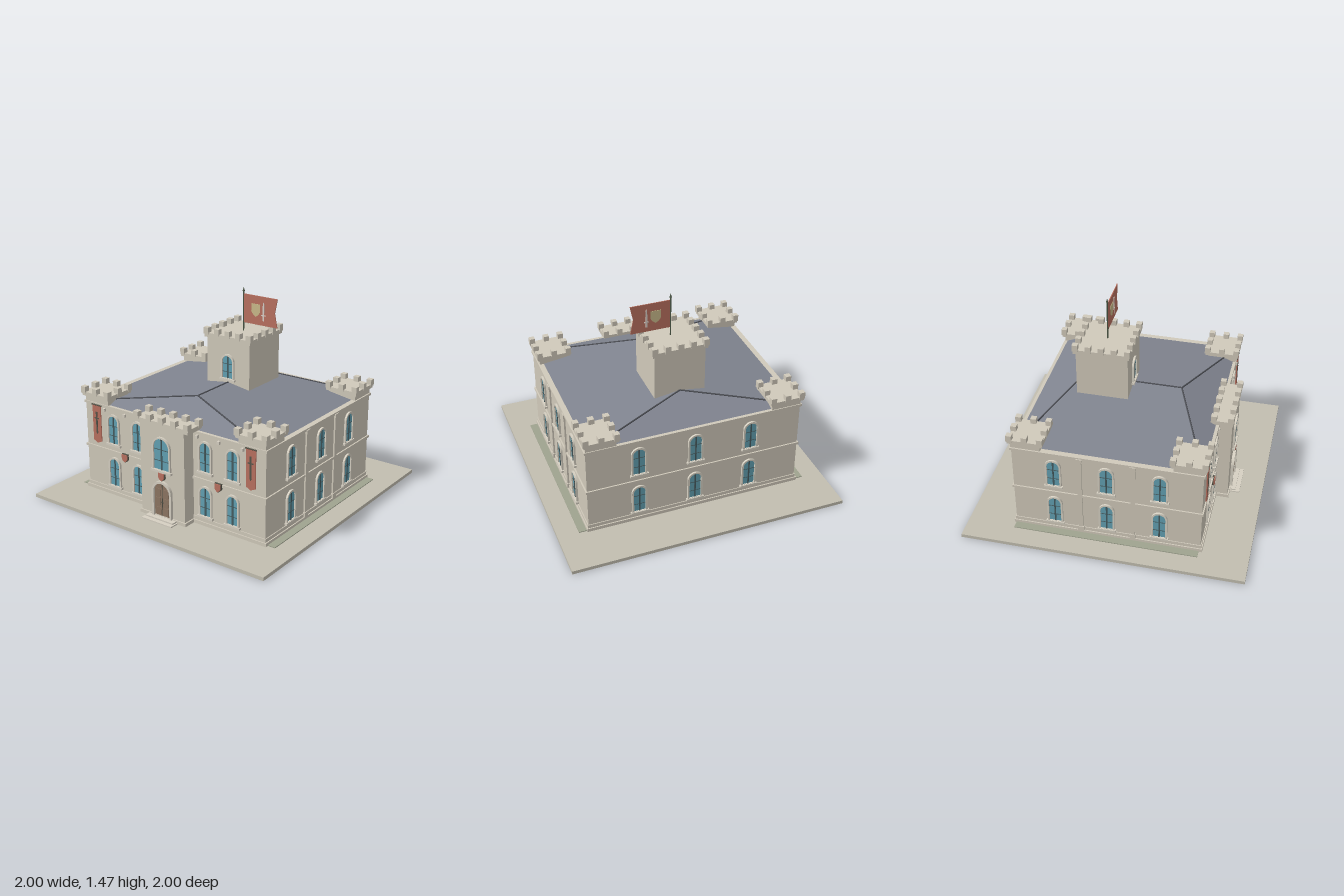
import * as THREE from 'three';

const mat = (color, side = THREE.FrontSide) => new THREE.MeshStandardMaterial({ color, side });
const M = {
  stone: mat(0xd0c9ba), trim: mat(0xd6d0c2), ground: mat(0xc2beb0), lawn: mat(0x9fa38f),
  roof: mat(0x80848f), lead: mat(0x4c4e54), glass: mat(0x62a0b2), bar: mat(0x465c60),
  door: mat(0x8c7562), iron: mat(0x55554a), red: mat(0xb9705f, THREE.DoubleSide),
  gold: mat(0xc9b98a), steel: mat(0xd8d0c8), green: mat(0x4e5a48),
};

function add(parent, name, geo, material, x = 0, y = 0, z = 0) {
  const m = new THREE.Mesh(geo, material);
  m.name = name;
  m.position.set(x, y, z);
  parent.add(m);
  return m;
}

// Box given by its minimum and maximum corners
function box(parent, name, material, x0, x1, y0, y1, z0, z1) {
  return add(parent, name, new THREE.BoxGeometry(x1 - x0, y1 - y0, z1 - z0), material,
    (x0 + x1) / 2, (y0 + y1) / 2, (z0 + z1) / 2);
}

const extrude = (shape, depth) =>
  new THREE.ExtrudeGeometry(shape, { depth, bevelEnabled: false, curveSegments: 10 });
const poly = pts => new THREE.Shape(pts.map(p => new THREE.Vector2(...p)));

// Round-headed opening standing on y = y0
function arch(w, h, y0 = 0) {
  const r = w / 2, s = new THREE.Shape();
  s.moveTo(-r, y0);
  s.lineTo(r, y0);
  s.lineTo(r, h - r);
  s.absarc(0, h - r, r, 0, Math.PI, false);
  s.lineTo(-r, y0);
  return s;
}

// Arched window facing +z: frame, glass, glazing bars and sill
function archWindow(w, h) {
  const g = new THREE.Group(), f = 0.013;
  g.name = 'window';
  const frame = arch(w + 2 * f, h + f);
  frame.holes.push(arch(w, h, 0.004));
  add(g, 'windowFrame', extrude(frame, 0.014), M.trim);
  add(g, 'windowGlass', extrude(arch(w, h), 0.004), M.glass);
  box(g, 'mullion', M.bar, -0.005, 0.005, 0, h - 0.004, 0, 0.009);
  for (const t of [0.3, 0.65])
    box(g, 'glazingBar', M.bar, -w / 2, w / 2, h * t - 0.002, h * t + 0.002, 0, 0.007);
  box(g, 'windowSill', M.trim, -w / 2 - 0.022, w / 2 + 0.022, -0.014, 0.002, 0, 0.02);
  return g;
}

const shieldShape = (w, h) => poly([[-w / 2, h / 2], [w / 2, h / 2], [w / 2, -h * 0.1],
  [w * 0.3, -h * 0.32], [0, -h / 2], [-w * 0.3, -h * 0.32], [-w / 2, -h * 0.1]]);

// Upright sword emblem, centred on its origin
function sword(h, material, depth) {
  const g = new THREE.Group();
  g.name = 'swordEmblem';
  const w = h * 0.04;
  add(g, 'blade', extrude(poly([[-w, -h * 0.2], [w, -h * 0.2], [w, h * 0.42], [0, h / 2], [-w, h * 0.42]]), depth), material);
  box(g, 'guard', material, -h * 0.13, h * 0.13, -h * 0.24, -h * 0.19, 0, depth);
  box(g, 'grip', material, -w, w, -h * 0.5, -h * 0.2, 0, depth);
  return g;
}

// Projecting slab with merlons around its edge
function battlement(parent, name, cx, cz, w, d, y0, y1, nx, nz) {
  const g = new THREE.Group(), s = 0.04, h = 0.038;
  g.name = name;
  g.position.set(cx, 0, cz);
  parent.add(g);
  box(g, 'parapetSlab', M.stone, -w / 2, w / 2, y0, y1, -d / 2, d / 2);
  const merlon = new THREE.BoxGeometry(s, h + 0.012, s);
  for (let i = 0; i < nx; i++)
    for (let j = 0; j < nz; j++) {
      if (i > 0 && i < nx - 1 && j > 0 && j < nz - 1) continue;
      add(g, 'merlon', merlon, M.stone, (i / (nx - 1) - 0.5) * (w - s + 0.01),
        y1 + h / 2 - 0.006, (j / (nz - 1) - 0.5) * (d - s + 0.01));
    }
}

// Rod between two points
function rod(parent, name, a, b, r, material) {
  const A = new THREE.Vector3(...a), B = new THREE.Vector3(...b), dir = B.clone().sub(A);
  const m = add(parent, name, new THREE.CylinderGeometry(r, r, dir.length(), 8), material);
  m.position.copy(A).add(B).multiplyScalar(0.5);
  m.quaternion.setFromUnitVectors(new THREE.Vector3(0, 1, 0), dir.normalize());
}

export function createModel() {
  const model = new THREE.Group();
  model.name = 'castleHouse';
  const X = 0.78, Z = 0.66, EAVE = 0.7;

  // Ground and side planting strips
  box(model, 'ground', M.ground, -1, 1, 0, 0.025, -1, 1);
  for (const s of [-1, 1]) box(model, 'plantingStrip', M.lawn, s * 0.815 - 0.035, s * 0.815 + 0.035, 0.02, 0.031, -0.66, 0.65);

  // Main block with plinth and string courses
  box(model, 'walls', M.stone, -X, X, 0.025, EAVE, -Z, Z);
  for (const [name, y0, y1, p] of [['plinth', 0.025, 0.05, 0.014], ['plinthCap', 0.05, 0.075, 0.006],
    ['stringCourse', 0.35, 0.368, 0.01], ['cornice', 0.682, 0.7, 0.01]])
    box(model, name, M.stone, -X - p, X + p, y0, y1, -Z - p, Z + p);

  // Hipped roof with lead ridge and hips
  const rx = 0.75, rz = 0.647, ry = 0.81, ridge = 0.36;
  const a = [-rx, EAVE, rz], b = [rx, EAVE, rz], c = [rx, EAVE, -rz], d = [-rx, EAVE, -rz];
  const f = [0, ry, ridge], k = [0, ry, -ridge];
  const roof = new THREE.BufferGeometry();
  roof.setAttribute('position', new THREE.Float32BufferAttribute(
    [a, b, f, b, c, k, b, k, f, c, d, k, d, a, f, d, f, k].flat(), 3));
  roof.computeVertexNormals();
  add(model, 'roof', roof, M.roof);
  rod(model, 'ridge', f, k, 0.006, M.lead);
  for (const [p, q] of [[a, f], [b, f], [c, k], [d, k]]) rod(model, 'hip', p, q, 0.006, M.lead);

  // Corner turrets
  for (const sx of [-1, 1])
    for (const sz of [-1, 1]) {
      const cx = sx * 0.672, cz = sz * 0.56;
      box(model, 'turret', M.stone, cx - 0.108, cx + 0.108, 0.69, 0.745, cz - 0.104, cz + 0.104);
      battlement(model, 'turretBattlement', cx, cz, 0.245, 0.245, 0.74, 0.768, 3, 3);
    }

  // Central tower
  box(model, 'tower', M.stone, -0.185, 0.185, 0.69, 1.13, -0.36, 0.01);
  battlement(model, 'towerBattlement', 0, -0.177, 0.4, 0.4, 1.12, 1.152, 5, 5);

  // Entrance porch, steps and door
  box(model, 'porch', M.stone, -0.19, 0.19, 0.025, 0.71, 0.6, 0.757);
  box(model, 'porchPlinth', M.stone, -0.2, 0.2, 0.025, 0.05, 0.6, 0.766);
  battlement(model, 'porchBattlement', 0, 0.69, 0.46, 0.15, 0.702, 0.734, 5, 2);
  box(model, 'lowerStep', M.trim, -0.13, 0.13, 0.02, 0.034, 0.75, 0.835);
  box(model, 'upperStep', M.trim, -0.12, 0.12, 0.03, 0.044, 0.75, 0.805);
  const door = new THREE.Group();
  door.name = 'door';
  door.position.set(0, 0.044, 0.757);
  model.add(door);
  const doorFrame = arch(0.17, 0.267);
  doorFrame.holes.push(arch(0.136, 0.25, 0.001));
  add(door, 'doorFrame', extrude(doorFrame, 0.02), M.trim);
  add(door, 'doorLeaf', extrude(arch(0.138, 0.25), 0.006), M.door);
  box(door, 'doorGap', M.iron, -0.002, 0.002, 0, 0.245, 0, 0.009);
  for (const s of [-1, 1]) {
    for (const y of [0.04, 0.11, 0.18]) box(door, 'doorPanel', M.door, s * 0.034 - 0.02, s * 0.034 + 0.02, y - 0.027, y + 0.027, 0, 0.01);
    add(door, 'doorHandle', new THREE.SphereGeometry(0.004, 8, 6), M.iron, s * 0.008, 0.11, 0.012);
  }

  // Windows on every face
  const place = (obj, x, y, z, ry = 0) => {
    obj.position.set(x, y, z);
    obj.rotation.y = ry;
    model.add(obj);
  };
  for (const y of [0.095, 0.42]) {
    for (const x of [-0.52, -0.295, 0.295, 0.52]) place(archWindow(0.086, 0.21), x, y, Z);
    for (const x of [-0.41, 0, 0.41]) place(archWindow(0.086, 0.21), x, y, -Z, Math.PI);
    for (const z of [-0.37, 0, 0.37])
      for (const s of [-1, 1]) place(archWindow(0.086, 0.21), s * X, y, z, s * Math.PI / 2);
  }
  place(archWindow(0.13, 0.23), 0, 0.39, 0.757);
  place(archWindow(0.088, 0.17), 0, 0.838, 0.01);

  // Side pilasters with base and capital
  for (const s of [-1, 1])
    for (const z of [-0.185, 0.185])
      for (const [name, w, p, y0, y1] of [['pilaster', 0.03, 0.012, 0.05, 0.69],
        ['pilasterBase', 0.042, 0.017, 0.05, 0.085], ['pilasterCapital', 0.042, 0.017, 0.665, 0.69]])
        box(model, name, M.stone, s * X - p, s * X + p, y0, y1, z - w / 2, z + w / 2);

  // Wall shields, brackets and hanging banners
  for (const [x, z] of [[-0.41, Z + 0.008], [0.41, Z + 0.008], [0, 0.757]]) {
    add(model, 'shieldRim', extrude(shieldShape(0.056, 0.066), 0.012), M.iron, x, 0.343, z);
    add(model, 'shield', extrude(shieldShape(0.048, 0.057), 0.018), M.red, x, 0.343, z);
  }
  for (const s of [-1, 1]) {
    for (const x of [0.23, 0.41, 0.6]) box(model, 'bracket', M.trim, s * x - 0.009, s * x + 0.009, 0.652, 0.674, Z, Z + 0.018);
    const cloth = poly([[-0.038, 0.685], [-0.038, 0.415], [0, 0.397], [0.038, 0.415], [0.038, 0.685]]);
    add(model, 'banner', extrude(cloth, 0.006), M.red, s * 0.67, 0, Z + 0.008);
    rod(model, 'bannerRod', [s * 0.67 - 0.045, 0.686, Z + 0.012], [s * 0.67 + 0.045, 0.686, Z + 0.012], 0.005, M.iron);
    const emblem = sword(0.17, M.iron, 0.003);
    emblem.rotation.z = Math.PI;
    place(emblem, s * 0.67, 0.55, Z + 0.014);
  }

  // Flagpole and swallow-tailed flag with emblems on both faces
  const fz = -0.177;
  rod(model, 'flagpole', [0, 1.14, fz], [0, 1.45, fz], 0.005, M.green);
  add(model, 'poleFinial', new THREE.ConeGeometry(0.009, 0.03, 8), M.green, 0, 1.458, fz);
  const flag = poly([[0.005, 1.215], [0.29, 1.215], [0.268, 1.32], [0.29, 1.425], [0.005, 1.425]]);
  add(model, 'flag', extrude(flag, 0.006), M.red, 0, 0, fz - 0.003);
  add(model, 'flagShield', extrude(shieldShape(0.075, 0.095), 0.012), M.gold, 0.108, 1.318, fz - 0.006);
  place(sword(0.135, M.steel, 0.014), 0.175, 1.318, fz - 0.007);
  return model;
}
